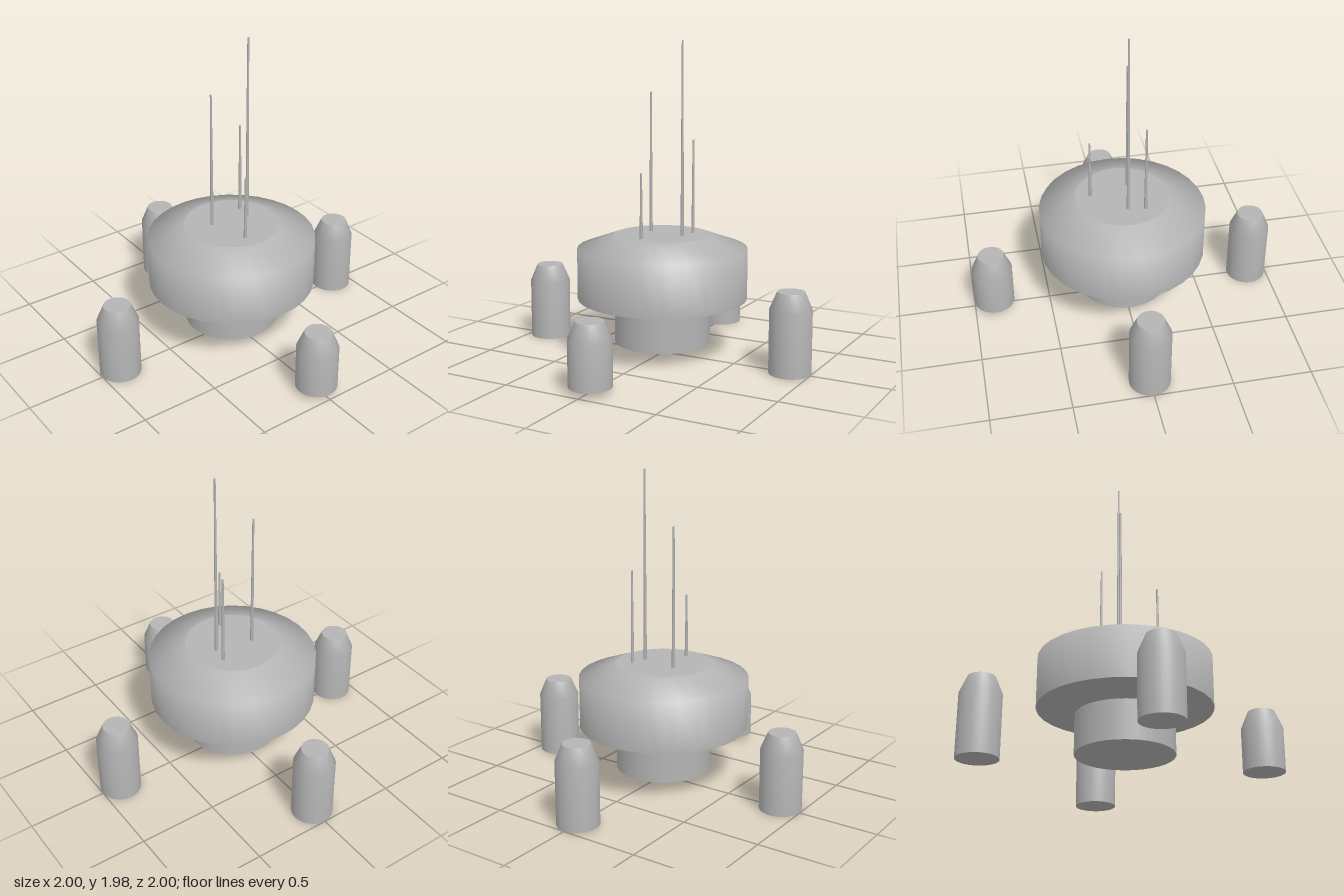
import * as THREE from 'three';

const grey = new THREE.MeshStandardMaterial({ color: 0xb4b4b4 });
grey.name = 'plain grey';

// Smooth surface of revolution; the profile runs from bottom to top as [radius, y]
function turned(name, profile, segments) {
  const points = profile.map(([r, y]) => new THREE.Vector2(r, y));
  const mesh = new THREE.Mesh(new THREE.LatheGeometry(points, segments), grey);
  mesh.name = name;
  return mesh;
}

// Upright pod with a tapered shoulder and flat ends
function pod(name, x, z, bottom, top) {
  const group = new THREE.Group();
  group.name = name;
  const r = 0.13, shoulder = top - 0.108, tip = 0.084;
  group.add(
    turned('podBase', [[0, bottom], [r, bottom]], 32),
    turned('podShell', [[r, bottom], [r, shoulder], [tip, top]], 32),
    turned('podCap', [[tip, top], [0, top]], 32)
  );
  group.position.set(x, 0, z);
  return group;
}

export function createModel() {
  const model = new THREE.Group();
  model.name = 'station';

  // Central drum: each run is separate, so its ends stay sharp
  const hub = new THREE.Group();
  hub.name = 'hub';
  hub.add(
    turned('columnBase', [[0, 0.08], [0.304, 0.08]], 32),
    turned('column', [[0.304, 0.08], [0.304, 0.326]], 32),
    turned('underside', [[0.304, 0.326], [0.538, 0.365]], 32),
    turned('drumShell', [[0.538, 0.365], [0.538, 0.687], [0.304, 0.772]], 32),
    turned('drumTop', [[0.304, 0.772], [0, 0.772]], 32)
  );
  hub.position.z = 0.006;
  model.add(hub);

  // Surrounding pods
  model.add(
    pod('frontPod', 0, 0.868, 0, 0.487),
    pod('backPod', 0, -0.87, 0, 0.503),
    pod('leftPod', 0.868, 0, 0.036, 0.421),
    pod('rightPod', -0.868, 0, 0, 0.503)
  );

  // Thin tapered masts: x, z, top height
  const masts = [
    [-0.12, -0.15, 1.365],
    [-0.013, -0.128, 1.982],
    [-0.055, 0.118, 1.66],
    [0.2, 0.045, 1.178],
  ];
  masts.forEach(([x, z, top], i) => {
    const base = 0.765;
    const mast = new THREE.Mesh(new THREE.CylinderGeometry(0.006, 0.011, top - base, 8), grey);
    mast.name = 'mast' + (i + 1);
    mast.position.set(x, (top + base) / 2, z);
    model.add(mast);
  });

  return model;
}
